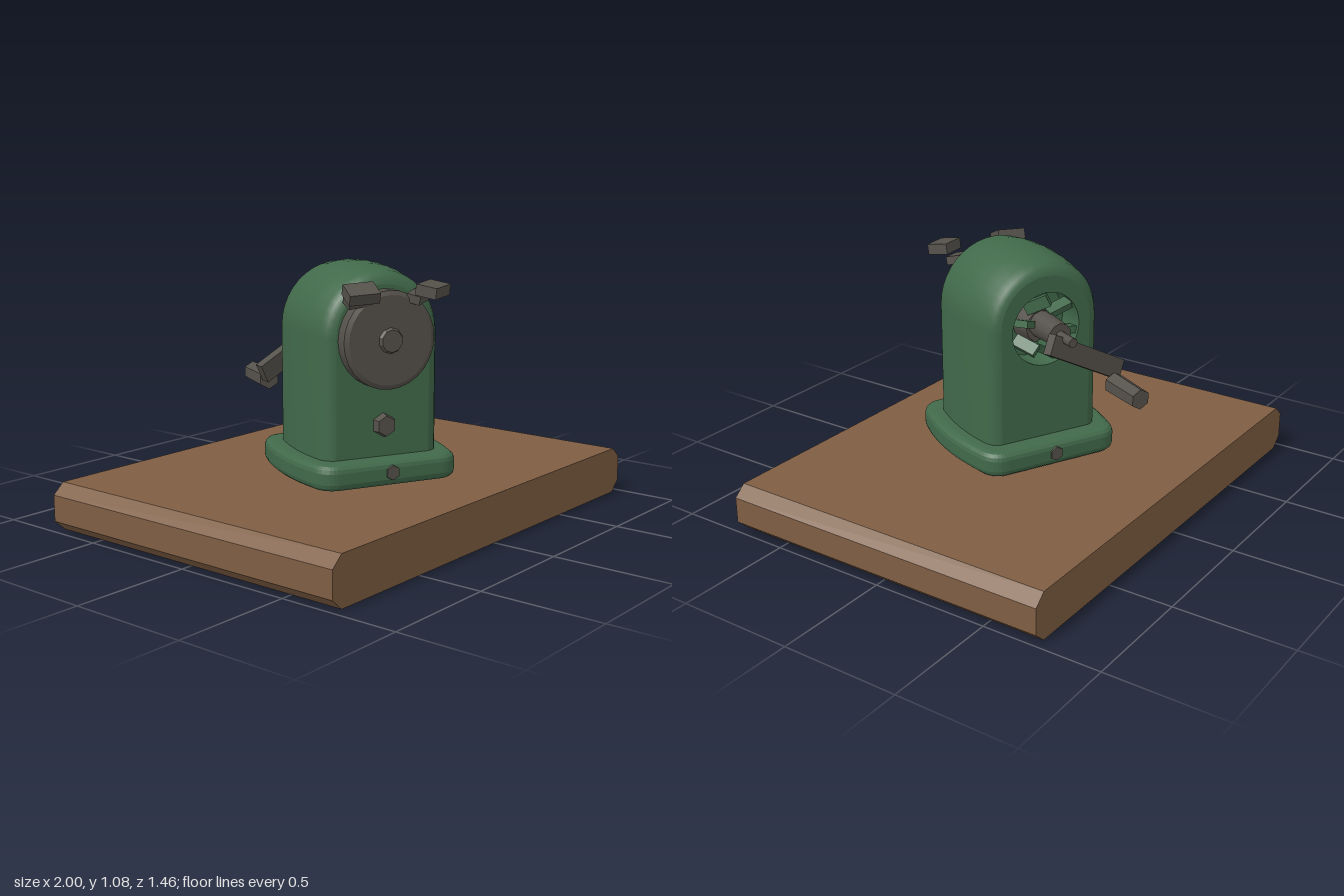
import * as THREE from 'three';

const mat = (name, color) => Object.assign(new THREE.MeshStandardMaterial({ color }), { name });
const V = (x, y, z) => new THREE.Vector3(x, y, z);

export function createModel() {
  const green = mat('green enamel', 0x41694a);
  green.side = THREE.DoubleSide;
  const wood = mat('brown wood', 0x7f5e43);
  const steel = mat('dark steel', 0x55514b);
  const root = new THREE.Group();
  root.name = 'deskSharpener';
  const add = (parent, name, geo, m) => {
    const mesh = new THREE.Mesh(geo, m);
    mesh.name = name;
    parent.add(mesh);
    return mesh;
  };

  // Wooden board with chamfered ends
  const end = [[-0.95, 0], [0.95, 0], [1, 0.045], [1, 0.155], [0.95, 0.2], [-0.95, 0.2], [-1, 0.155], [-1, 0.045]];
  const board = new THREE.ExtrudeGeometry(new THREE.Shape(end.map(p => new THREE.Vector2(...p))),
    { depth: 1.46, bevelEnabled: false });
  add(root, 'board', board.translate(0, 0, -0.73), wood);

  // The machine stands turned on the board
  const machine = new THREE.Group();
  machine.name = 'machine';
  machine.position.set(-0.035, 0, 0.065);
  machine.rotation.y = -0.455;
  root.add(machine);

  // Cylinder along z from z0 to z1
  const rod = (name, x, y, z0, z1, r0, r1, sides, m, flat = false) => {
    let g = new THREE.CylinderGeometry(r1, r0, z1 - z0, sides).rotateX(Math.PI / 2);
    if (flat) { g = g.toNonIndexed(); g.computeVertexNormals(); }
    return add(machine, name, g.translate(x, y, (z0 + z1) / 2), m);
  };
  // Flat bar between two points, thin along the given direction
  const bar = (name, a, b, w, t, thin, m) => {
    const mesh = add(machine, name, new THREE.BoxGeometry(w, t, a.distanceTo(b)), m);
    mesh.position.copy(a).lerp(b, 0.5);
    mesh.up.copy(thin);
    mesh.lookAt(b);
    return mesh;
  };

  // Foot flange with bowed sides and rounded corners
  const foot = new THREE.Shape();
  foot.moveTo(-0.22, 0.295);
  foot.lineTo(0.22, 0.295);
  foot.quadraticCurveTo(0.27, 0.295, 0.282, 0.24);
  foot.quadraticCurveTo(0.34, 0, 0.282, -0.24);
  foot.quadraticCurveTo(0.27, -0.295, 0.22, -0.295);
  foot.lineTo(-0.22, -0.295);
  foot.quadraticCurveTo(-0.27, -0.295, -0.282, -0.24);
  foot.quadraticCurveTo(-0.34, 0, -0.282, 0.24);
  foot.quadraticCurveTo(-0.27, 0.295, -0.22, 0.295);
  const footGeo = new THREE.ExtrudeGeometry(foot,
    { depth: 0.045, bevelThickness: 0.03, bevelSize: 0.035, bevelSegments: 3, curveSegments: 8 });
  add(machine, 'foot', footGeo.rotateX(-Math.PI / 2).translate(0, 0.235, 0), green);

  // Arched housing, lofted front to back with rounded rims
  const spring = 0.8, arcSteps = 20;
  const arch = w => {
    const pts = [[w, 0.25]];
    for (let i = 0; i <= arcSteps; i++) {
      const a = Math.PI * i / arcSteps;
      pts.push([w * Math.cos(a), spring + w * Math.sin(a)]);
    }
    pts.push([-w, 0.25]);
    return pts;
  };
  const half = [[0.24, 0.205], [0.235, 0.222], [0.222, 0.24], [0.195, 0.257], [0.1, 0.272]];
  const rows = [...half, [0, 0.277], ...half.map(([z, w]) => [-z, w]).reverse()];
  const pos = [], idx = [], n = arcSteps + 3;
  rows.forEach(([z, w], r) => {
    arch(w).forEach(([x, y]) => pos.push(x, y, z));
    if (r === 0) return;
    for (let i = 0; i < n - 1; i++) {
      const a = (r - 1) * n + i, b = r * n + i;
      idx.push(a, b, a + 1, b, b + 1, a + 1);
    }
  });
  const shell = new THREE.BufferGeometry();
  shell.setAttribute('position', new THREE.Float32BufferAttribute(pos, 3));
  shell.setIndex(idx);
  shell.computeVertexNormals();
  add(machine, 'housing', shell, green);

  // Front wall, and back wall with a round opening
  const wall = () => new THREE.Shape(arch(0.205).map(p => new THREE.Vector2(...p)));
  add(machine, 'frontWall', new THREE.ShapeGeometry(wall()).translate(0, 0, 0.24), green);
  const backShape = wall();
  backShape.holes.push(new THREE.Path().absarc(0, 0.78, 0.155, 0, Math.PI * 2, true));
  add(machine, 'backWall', new THREE.ShapeGeometry(backShape, 16).rotateY(Math.PI).translate(0, 0, -0.24), green);

  // Recess behind the crank, with ribs and the cutter carrier
  const tube = new THREE.CylinderGeometry(0.155, 0.155, 0.13, 32, 1, true).rotateX(Math.PI / 2);
  add(machine, 'recessWall', tube.translate(0, 0.78, -0.175), green);
  add(machine, 'recessFloor', new THREE.CircleGeometry(0.155, 32).rotateY(Math.PI).translate(0, 0.78, -0.11), green);
  for (let i = 0; i < 6; i++) {
    const a = i * Math.PI / 3 + 0.3, c = Math.cos(a), s = Math.sin(a);
    bar('rib', V(c * 0.05, 0.78 + s * 0.05, -0.205), V(c * 0.155, 0.78 + s * 0.155, -0.205), 0.05, 0.03, V(-s, c, 0), green);
  }
  rod('cutterCarrier', 0, 0.78, -0.2, -0.11, 0.07, 0.085, 12, steel);

  // Front dial with a small raised hub
  rod('dial', 0, 0.79, 0.235, 0.295, 0.198, 0.198, 28, steel);
  rod('dialFace', 0, 0.79, 0.295, 0.305, 0.198, 0.18, 28, steel);
  rod('dialHub', 0, 0.79, 0.3, 0.32, 0.055, 0.045, 10, steel, true);

  // Pair of finger grips above the dial
  for (const s of [-1, 1]) {
    const out = V(s * 0.66, 0.75, 0);
    bar('gripArm', V(s * 0.118, 0.935, 0.235), V(s * 0.142, 0.975, 0.33), 0.06, 0.035, out, steel);
    bar('gripTab', V(s * 0.142, 0.98, 0.3), V(s * 0.168, 1.0, 0.42), 0.09, 0.045, out, steel);
  }

  // Bolt on the front wall and screws on the foot
  rod('frontBolt', 0, 0.44, 0.235, 0.275, 0.05, 0.042, 6, steel, true);
  rod('footScrewFront', 0, 0.262, 0.31, 0.336, 0.035, 0.03, 6, steel, true);
  rod('footScrewBack', 0, 0.262, -0.336, -0.31, 0.03, 0.035, 6, steel, true);

  // Crank: hub, shaft end, slanted arm and handle
  rod('crankHub', 0, 0.79, -0.35, -0.18, 0.05, 0.058, 10, steel);
  rod('crankShaft', 0, 0.79, -0.45, -0.34, 0.02, 0.02, 8, steel);
  bar('crankArm', V(0.035, 0.835, -0.335), V(-0.26, 0.52, -0.38), 0.085, 0.04, V(0, 0, 1), steel);
  rod('crankHandle', -0.248, 0.54, -0.565, -0.37, 0.043, 0.047, 6, steel, true);

  return root;
}
